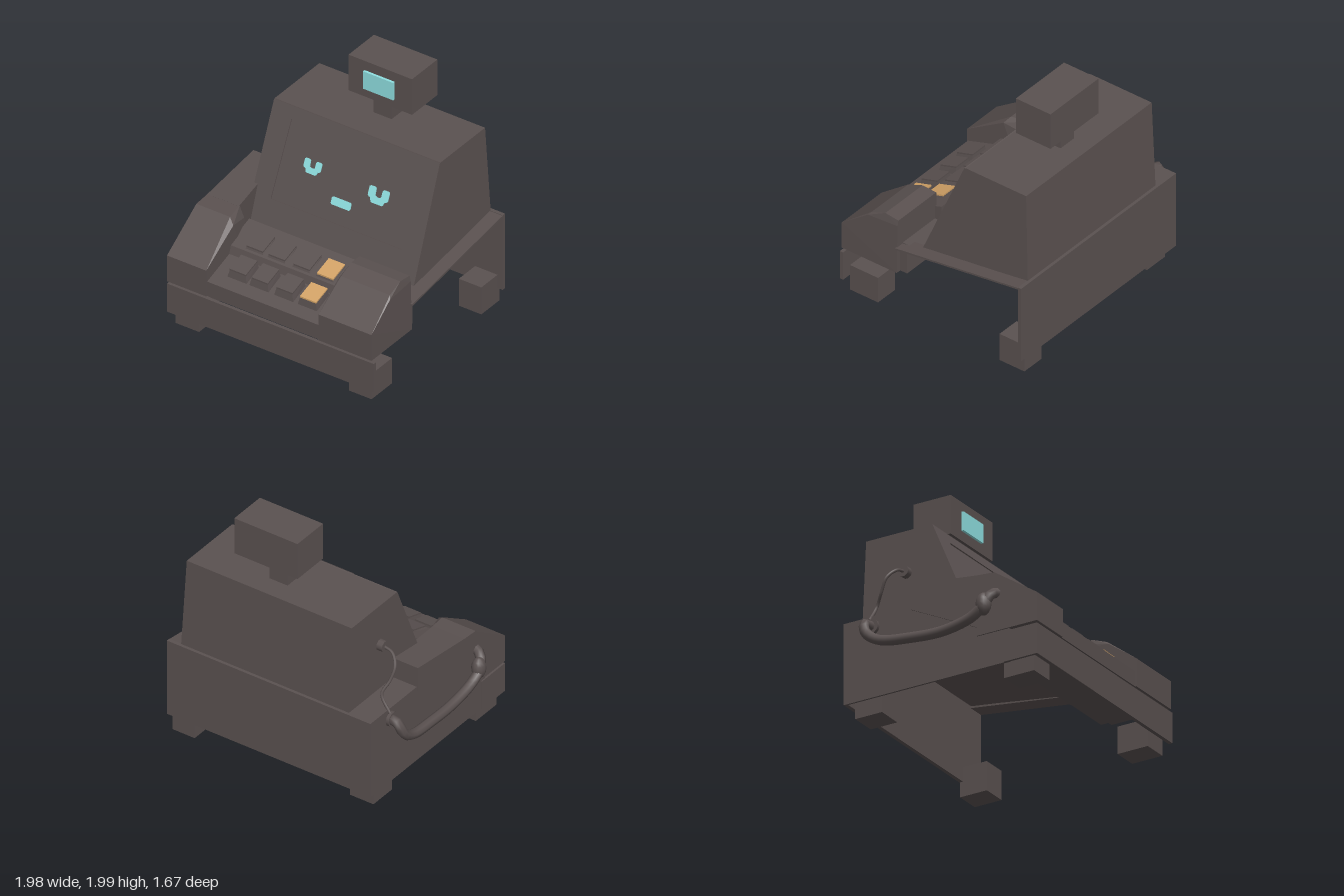
import * as THREE from 'three';
import { ConvexGeometry } from 'three/addons/geometries/ConvexGeometry.js';

export function createModel() {
  const root = new THREE.Group();
  root.name = 'cashRegister';
  const casing = new THREE.MeshStandardMaterial({ color: 0x5a5150 });
  casing.name = 'darkCasing';
  const cyan = new THREE.MeshStandardMaterial({ color: 0x8fdfe0 });
  cyan.name = 'cyanDisplay';
  const amber = new THREE.MeshStandardMaterial({ color: 0xd2a266 });
  amber.name = 'amberKey';

  const add = (name, geo, mat = casing, parent = root) => {
    const m = new THREE.Mesh(geo, mat);
    m.name = name;
    parent.add(m);
    return m;
  };
  // box from its min and max on each axis
  const box = (name, x0, x1, y0, y1, z0, z1, mat) => {
    const m = add(name, new THREE.BoxGeometry(x1 - x0, y1 - y0, z1 - z0), mat);
    m.position.set((x0 + x1) / 2, (y0 + y1) / 2, (z0 + z1) / 2);
  };
  // convex solid from rows of [y, z, xMin, xMax]
  const hull = (name, rows, mat) => add(name, new ConvexGeometry(
    rows.flatMap(([y, z, a, b]) => [new THREE.Vector3(a, y, z), new THREE.Vector3(b, y, z)])), mat);
  const poly = (pts) => new THREE.Shape(pts.map(([x, y]) => new THREE.Vector2(x, y)));

  // base shell: back and one side wall, open below and on the other side
  box('backWall', -0.84, 0.98, 0.12, 0.77, -0.83, -0.8);
  hull('sideWall', [[0.12, -0.83], [0.12, 0.6], [0.38, 0.6], [0.7, 0.1], [0.77, -0.25], [0.77, -0.83]]
    .map(([y, z]) => [y, z, -0.84, -0.825]));
  box('sideLid', -0.84, -0.6, 0.755, 0.77, -0.83, -0.2);
  hull('slopedLid', [[0.77, -0.83], [0.755, -0.83], [0.61, 0.34], [0.595, 0.34]]
    .map(([y, z]) => [y, z, 0.84, 0.98]));
  box('consoleLid', -0.6, 0.9, 0.605, 0.62, 0.1, 0.36);

  // hollow drawer: thin front panel and one side
  box('drawerFront', -0.85, 0.99, 0.12, 0.365, 0.81, 0.84);
  box('drawerSide', -0.85, -0.83, 0.12, 0.365, 0.55, 0.82);

  // feet
  for (const [x0, x1, zb] of [[-0.81, -0.6, -0.75], [0.735, 0.935, -0.825]]) {
    box('frontFoot', x0, x1, 0.01, 0.23, 0.53, 0.79);
    box('backFoot', x0, x1, 0, 0.235, zb, zb + 0.23);
  }

  // stepped key console
  const profile = poly([[0.83, 0.385], [0.83, 0.51], [0.55, 0.6], [0.53, 0.665], [0.27, 0.75], [0.26, 0.385]]);
  const consoleGeo = new THREE.ExtrudeGeometry(profile, { depth: 1.04, bevelEnabled: false });
  consoleGeo.rotateY(-Math.PI / 2);
  add('keyConsole', consoleGeo).position.x = 0.52;
  box('consoleBack', -0.82, 0.93, 0.387, 0.61, 0.265, 0.36);

  // two rows of tapered keys, last column amber
  [-0.305, -0.11, 0.11, 0.32].forEach((x, i) => {
    const mat = i === 3 ? amber : casing;
    [[0.72, 0.575, 0.61, 0.655, 0.54], [0.505, 0.355, 0.697, 0.745, 0.66]].forEach(([zf, zb, yf, yb, low]) => {
      hull(i === 3 ? 'amberKey' : 'key', [[yf, zf, x - 0.072, x + 0.072], [yb, zb, x - 0.072, x + 0.072],
        [yf - 0.012, zf, x - 0.072, x + 0.072], [yb - 0.012, zb, x - 0.072, x + 0.072]], mat);
      hull('keyBase', [[yf - 0.012, zf, x - 0.072, x + 0.072], [yb - 0.012, zb, x - 0.072, x + 0.072],
        [low, zf + 0.01, x - 0.085, x + 0.085], [low + 0.03, zb - 0.01, x - 0.085, x + 0.085]]);
    });
  });

  // shoulder blocks on both sides of the keys
  hull('rightShoulder', [[0.385, 0.84, -0.85, -0.5], [0.61, 0.84, -0.85, -0.5], [0.82, 0.5, -0.85, -0.5],
    [0.86, 0.47, -0.85, -0.55], [0.87, 0.32, -0.85, -0.57],
    [0.78, 0.32, -0.85, -0.53], [0.385, 0.32, -0.85, -0.5]]);
  hull('rightArmRest', [[0.87, 0.33, -0.85, -0.57], [0.94, -0.25, -0.85, -0.63],
    [0.74, -0.25, -0.85, -0.63], [0.45, 0.33, -0.85, -0.57]]);
  hull('leftShoulder', [[0.385, 0.84, 0.5, 0.97], [0.61, 0.84, 0.5, 0.97], [0.785, 0.6, 0.5, 0.965],
    [0.81, 0.58, 0.515, 0.95], [0.86, 0.45, 0.515, 0.95], [0.845, 0.33, 0.505, 0.95],
    [0.8, 0.33, 0.5, 0.96], [0.385, 0.33, 0.5, 0.97]]);

  // tower body behind the screen frame
  hull('tower', [[0.624, 0.159, -0.63, 0.87], [1.5, -0.209, -0.63, 0.845],
    [1.5, -0.77, -0.63, 0.845], [0.77, -0.805, -0.63, 0.87]]);

  // sloped face: frame with a shallow recessed screen
  const recess = 0.01;
  const tilt = Math.atan2(0.37, 0.88), cos = Math.cos(tilt);
  const face = new THREE.Group();
  face.name = 'screenFace';
  face.position.set(0, 0.62, 0.17);
  face.rotation.x = -tilt;
  root.add(face);
  const sloped = (pts) => poly(pts.map(([x, y]) => [x, (y - 0.62) / cos]));
  const plate = (name, shape, mat, depth) => {
    add(name, new THREE.ExtrudeGeometry(shape, { depth, bevelEnabled: false }), mat, face).position.z = -recess;
  };
  const frame = sloped([[-0.63, 0.62], [0.87, 0.62], [0.845, 1.5], [-0.63, 1.5]]);
  frame.holes.push(sloped([[-0.465, 0.84], [-0.45, 1.41], [0.68, 1.41], [0.7, 0.84]]));
  plate('screenFrame', frame, casing, recess);

  // thin glowing eyes and mouth
  const eye = (name, x, y, w, h) => plate(name, sloped([[-0.5, 0.93], [-0.5, 0.38], [-0.44, 0.3],
    [-0.36, 0.28], [-0.3, 0.04], [-0.25, 0], [0.25, 0], [0.3, 0.04], [0.36, 0.28], [0.44, 0.3], [0.5, 0.38],
    [0.5, 0.93], [0.44, 1], [0.22, 1], [0.16, 0.9], [0.15, 0.5], [0.06, 0.42],
    [-0.06, 0.42], [-0.15, 0.5], [-0.16, 0.9], [-0.22, 1], [-0.44, 1]]
    .map(([u, v]) => [x + u * w, y + v * h])), cyan, 0.009);
  eye('rightEye', -0.188, 1.1, 0.152, 0.097);
  eye('leftEye', 0.405, 1.07, 0.178, 0.112);
  plate('mouth', sloped([[0.03, 0.965], [0.04, 0.957], [0.192, 0.957], [0.202, 0.965],
    [0.202, 1.005], [0.192, 1.013], [0.04, 1.013], [0.03, 1.005]]), cyan, 0.009);

  // customer display on its neck
  box('displayNeck', 0.065, 0.225, 1.49, 1.69, -0.6, -0.47);
  box('displayHead', -0.095, 0.47, 1.68, 1.99, -0.7, -0.38);
  box('displayScreen', 0.048, 0.316, 1.758, 1.91, -0.385, -0.36, cyan);

  // handset with its cord and sockets along the side
  const tube = (name, r, pts) => add(name, new THREE.TubeGeometry(
    new THREE.CatmullRomCurve3(pts.map((p) => new THREE.Vector3(...p))), 32, r, 8));
  tube('cord', 0.012, [[-0.66, 1.16, -0.42], [-0.75, 1.14, -0.43], [-0.81, 1.07, -0.48],
    [-0.8, 0.97, -0.53], [-0.77, 0.87, -0.59], [-0.85, 0.74, -0.6]]);
  tube('handsetArm', 0.04, [[-0.83, 0.68, -0.58], [-0.92, 0.68, -0.6], [-0.95, 0.59, -0.57],
    [-0.945, 0.51, -0.46], [-0.93, 0.47, -0.2], [-0.92, 0.46, 0.08], [-0.92, 0.51, 0.32],
    [-0.92, 0.58, 0.42], [-0.89, 0.67, 0.47], [-0.83, 0.69, 0.49]]);
  const hand = add('handsetEnd', new THREE.SphereGeometry(1, 12, 8));
  hand.position.set(-0.915, 0.59, 0.42);
  hand.scale.set(0.055, 0.09, 0.06);
  const socket = (name, x, y, z, r) => {
    const m = add(name, new THREE.CylinderGeometry(r, r, 0.05, 10));
    m.rotation.z = Math.PI / 2;
    m.position.set(x, y, z);
  };
  socket('cordPlug', -0.655, 1.16, -0.42, 0.045);
  socket('wallSocket', -0.84, 0.68, -0.58, 0.06);

  return root;
}
